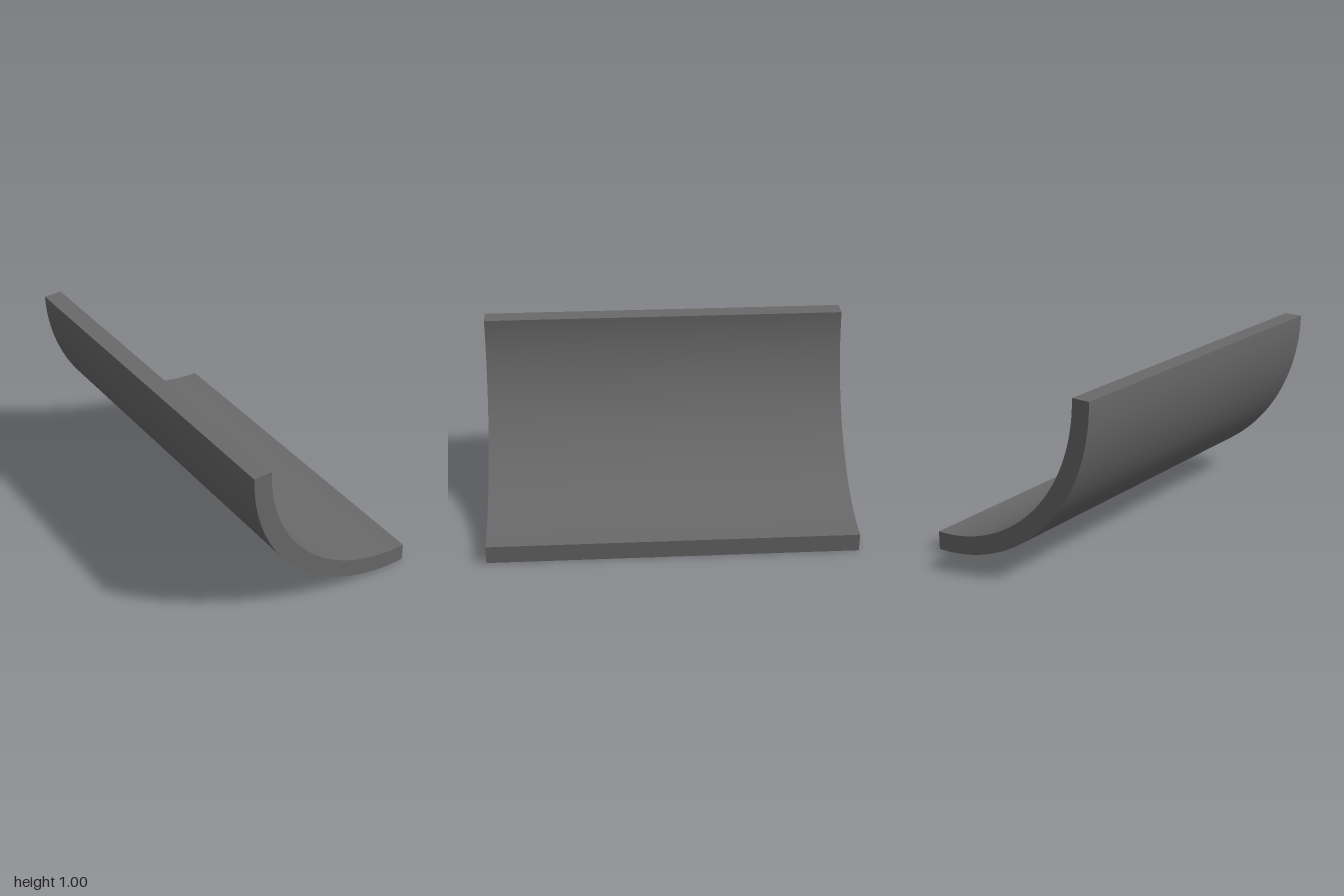
import * as THREE from 'three';
import { toCreasedNormals } from 'three/addons/utils/BufferGeometryUtils.js';

const OUTER = 1, INNER = 0.9, LENGTH = 2;

export function createModel() {
  const group = new THREE.Group();
  group.name = 'quarterPipe';

  // Quarter-ring cross-section around the axis at (0.5, 1)
  const section = new THREE.Shape();
  section.absarc(0.5, 1, OUTER, Math.PI, Math.PI * 1.5, false);
  section.absarc(0.5, 1, INNER, Math.PI * 1.5, Math.PI, true);
  section.closePath();

  // Sweep the section along z, smooth on the curve and sharp on the edges
  const geometry = new THREE.ExtrudeGeometry(section, {
    depth: LENGTH, bevelEnabled: false, curveSegments: 48,
  });
  geometry.translate(0, 0, -LENGTH / 2);

  // Dark grey shell
  const shell = new THREE.Mesh(
    toCreasedNormals(geometry, Math.PI / 6),
    new THREE.MeshStandardMaterial({ color: 0x696969 }),
  );
  shell.name = 'curvedShell';
  group.add(shell);
  return group;
}
